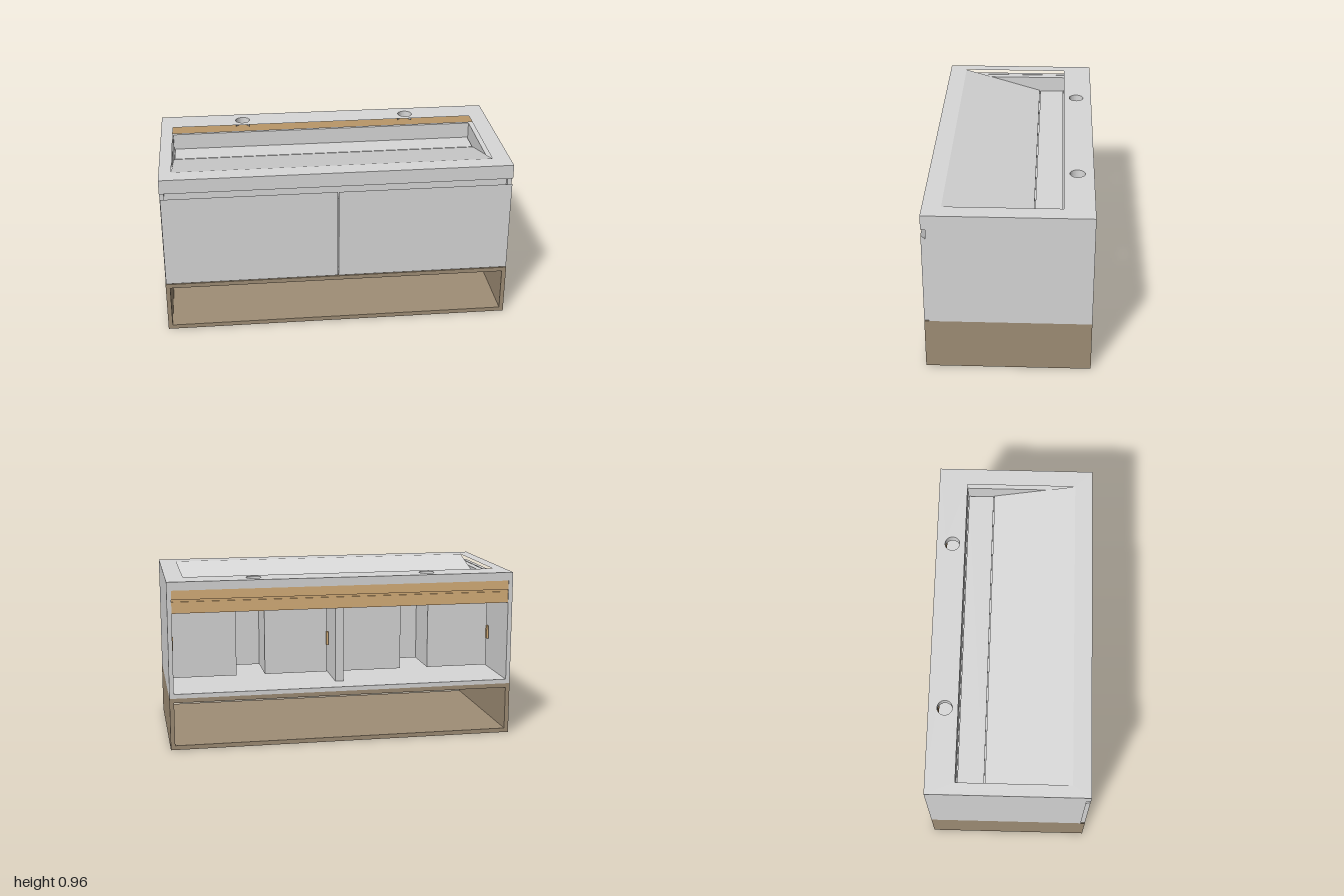
import * as THREE from 'three';

export function createModel() {
  const model = new THREE.Group();
  model.name = 'washbasinCabinet';

  const mat = (name, color) => {
    const m = new THREE.MeshStandardMaterial({ color });
    m.name = name;
    return m;
  };
  const grey = mat('light grey', 0xd8d8d8);
  const brown = mat('taupe brown', 0xa08e76);
  const wood = mat('raw wood', 0xd8b07a);

  const add = (name, geo, material, parent = model) => {
    const mesh = new THREE.Mesh(geo, material);
    mesh.name = name;
    parent.add(mesh);
    return mesh;
  };
  // Box given by its limits on each axis
  const box = (name, [x0, x1], [y0, y1], [z0, z1], material, parent) => {
    const geo = new THREE.BoxGeometry(x1 - x0, y1 - y0, z1 - z0);
    geo.translate((x0 + x1) / 2, (y0 + y1) / 2, (z0 + z1) / 2);
    return add(name, geo, material, parent);
  };
  const path = (pts, Type = THREE.Shape) => new Type(pts.map(([a, b]) => new THREE.Vector2(a, b)));
  const rect = (x0, x1, z0, z1, Type) => path([[x0, -z0], [x1, -z0], [x1, -z1], [x0, -z1]], Type);
  const circle = (x, z, r) => new THREE.Path().absarc(x, -z, r, 0, Math.PI * 2, false);
  // Flat plate with holes, from y0 to y1
  const plate = (name, shape, y0, y1, material, parent) => {
    const geo = new THREE.ExtrudeGeometry(shape, { depth: y1 - y0, bevelEnabled: false, curveSegments: 16 });
    geo.rotateX(-Math.PI / 2).translate(0, y0, 0);
    return add(name, geo, material, parent);
  };
  // Side profile of (z, y) points, swept from x0 to x1
  const sweep = (name, pts, x0, x1, material, parent) => {
    const geo = new THREE.ExtrudeGeometry(path(pts), { depth: x1 - x0, bevelEnabled: false });
    geo.rotateY(-Math.PI / 2).translate(x1, 0, 0);
    return add(name, geo, material, parent);
  };

  const B = -0.458, F = 0.458, IN = 0.433, T = 0.025;

  // Open shelf base
  box('shelfFloor', [-1, 1], [0, T], [B, F], brown);
  box('shelfTop', [-1, 1], [0.275, 0.3], [B, F], brown);
  for (const s of [-1, 1]) {
    box('shelfSide', [s * 0.9875 - T / 2, s * 0.9875 + T / 2], [T, 0.275], [B, F], brown);
  }

  // Cabinet carcass, open at the back
  box('cabinetFloor', [-0.975, 0.975], [0.3, 0.325], [B, IN], grey);
  for (const s of [-1, 1]) {
    box('cabinetSide', [s * 0.9875 - T / 2, s * 0.9875 + T / 2], [0.3, 0.915], [B, IN], grey);
  }
  box('divider', [-0.025, 0.025], [0.325, 0.79], [-0.32, 0.4], grey);
  box('frontRail', [-0.975, 0.975], [0.78, 0.9], [0.39, 0.41], grey);

  // Wooden rails across the back
  box('upperBackRail', [-0.975, 0.975], [0.862, 0.915], [B + 0.004, B + 0.05], wood);
  box('lowerBackRail', [-0.975, 0.975], [0.785, 0.85], [B + 0.004, B + 0.05], wood);
  box('backRailJoint', [-0.975, 0.975], [0.85, 0.862], [B + 0.012, B + 0.04], wood);

  // Countertop with basin opening and tap holes
  const X0 = -0.93, X1 = 0.898;
  const top = rect(-1, 1, B, F);
  top.holes.push(rect(X0, X1, -0.29, 0.355, THREE.Path));
  for (const s of [-1, 1]) top.holes.push(circle(s * 0.505, -0.365, 0.043));
  plate('countertop', top, 0.915, 0.963, grey);
  box('countertopApron', [-1, 1], [0.88, 0.915], [0.41, F], grey);

  // Basin: sloping floor, walls, drain channel and its cover
  const basin = new THREE.Group();
  basin.name = 'basin';
  model.add(basin);
  sweep('basinSlope', [[0.355, 0.963], [-0.13, 0.822], [-0.13, 0.8], [-0.1, 0.8], [0.355, 0.925]],
    X0, X1, grey, basin);
  box('basinBackWall', [-0.97, 0.97], [0.8, 0.915], [-0.31, -0.29], grey, basin);
  const wall = [[-0.29, 0.8], [-0.1, 0.8], [0.355, 0.9], [0.355, 0.915], [-0.29, 0.915]];
  sweep('basinRightWall', wall, -0.97, X0, grey, basin);
  sweep('basinLeftWall', wall, X1, 0.97, grey, basin);
  const channel = rect(-0.97, 0.97, -0.31, -0.12);
  for (const s of [-1, 1]) channel.holes.push(circle(s * 0.5, -0.2, 0.04));
  plate('drainChannel', channel, 0.785, 0.8, grey, basin);
  box('drainCover', [-0.922, 0.893], [0.808, 0.822], [-0.285, -0.136], grey, basin);

  // Two drawers, notched at the back around the plumbing
  for (const s of [-1, 1]) {
    const drawer = new THREE.Group();
    drawer.name = s > 0 ? 'leftDrawer' : 'rightDrawer';
    drawer.position.x = s * 0.5;
    model.add(drawer);
    const W = 0.46, N = 0.085, back = -0.12, notch = 0.15, t = 0.018;
    const Y = [0.355, 0.735];
    sweep('drawerFront', [[IN, 0.305], [F, 0.305], [F, 0.845], [IN, 0.82]], -0.4965, 0.498, grey, drawer);
    plate('drawerFloor', path([[-W, -IN], [W, -IN], [W, -back], [N, -back], [N, -notch],
      [-N, -notch], [-N, -back], [-W, -back]]), 0.338, 0.355, grey, drawer);
    box('notchFront', [-N, N], Y, [notch, notch + t], grey, drawer);
    for (const k of [-1, 1]) {
      const span = (a, b) => (k > 0 ? [a, b] : [-b, -a]);
      box('drawerSide', span(W - t, W), Y, [back, IN], grey, drawer);
      box('drawerBack', span(N, W - t), Y, [back, back + t], grey, drawer);
      box('notchSide', span(N, N + t), Y, [back + t, notch + t], grey, drawer);
    }
    // Slide catches at the outer back corners
    for (const k of [-1, 1]) {
      box('slideCatch', [k * 0.462 - 0.006, k * 0.462 + 0.006], [0.505, 0.585], [-0.14, -0.12], wood, drawer);
    }
  }

  return model;
}
